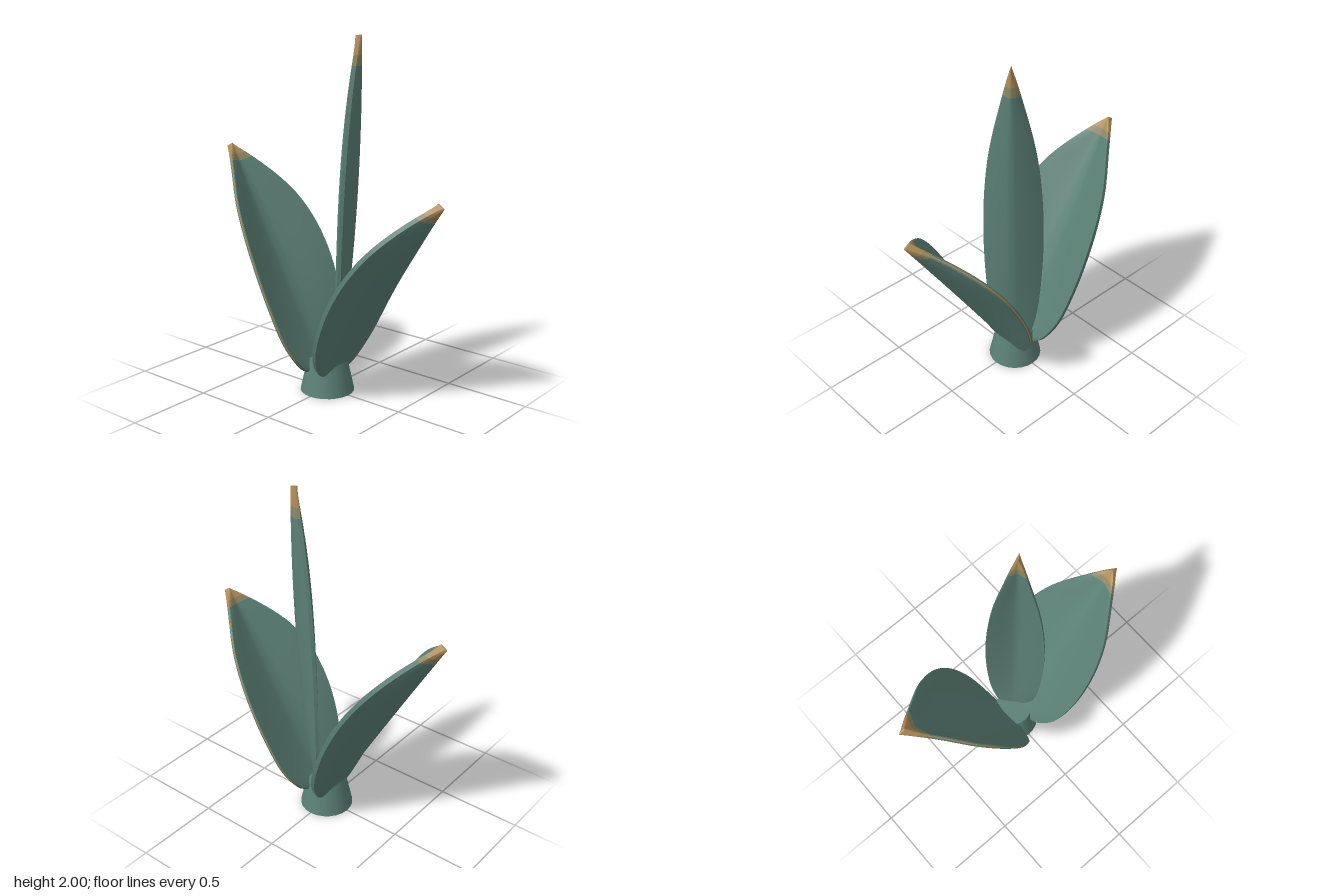
import * as THREE from 'three';

const material = (name, color) => Object.assign(new THREE.MeshStandardMaterial({ color }), { name });
const green = material('leafGreen', 0x5a7f74);
const tan = material('tipTan', 0xb18d56);
const olive = material('tipBlendOlive', 0x8c8763);

// Leaf outline: position along the leaf, share of the full half width
const outline = new THREE.SplineCurve([
  [0, 0.36], [0.04, 0.58], [0.15, 0.84], [0.3, 0.97], [0.45, 1],
  [0.6, 0.93], [0.75, 0.72], [0.92, 0.27], [1, 0.012],
].map(([t, w]) => new THREE.Vector2(t, w)));
const ROWS = 32, TIP_ROW = 28, COLS = 12;

// Folded leaf, thinner at its margins; it leans towards +x, with its rib on the outside
function leafGeometry({ rib, halfWidth, cup, thick, tanRim }) {
  const path = new THREE.QuadraticBezierCurve(...rib.map(([r, y]) => new THREE.Vector2(r, y)));
  const stations = outline.getPoints(ROWS);
  // side runs from 0 on the outer face to 1 on the inner face
  const pointAt = (row, u, side) => {
    const t = THREE.MathUtils.clamp(stations[row].x, 0, 1);
    const p = path.getPoint(t), d = path.getTangent(t);
    const depth = thick * (0.5 + (side - 0.5) * (1 - 0.45 * u ** 4));
    const fold = cup * 4 * t * (1 - t) * (0.75 + 0.5 * t);
    const inward = fold * Math.abs(u) ** 1.25 + depth;
    return [p.x - d.y * inward, p.y + d.x * inward, halfWidth * stations[row].y * u];
  };

  const positions = [], body = [], tip = [], blend = [];
  // Adds a grid of quads; each grid keeps its own vertices, so its borders stay sharp
  const addGrid = (rows, cols, at, listFor) => {
    const start = positions.length / 3;
    for (let i = 0; i <= rows; i++) for (let j = 0; j <= cols; j++) positions.push(...at(i, j));
    for (let i = 0; i < rows; i++) for (let j = 0; j < cols; j++) {
      const a = start + i * (cols + 1) + j, c = a + cols + 1;
      listFor(i, j).push(a, a + 1, c, a + 1, c + 1, c);
    }
  };
  const byRow = (i) => (i < TIP_ROW ? body : i === TIP_ROW ? blend : tip);
  const rimColour = (i, j) => (tanRim && j === 1 && i >= 5 ? tip : byRow(i));
  const across = (j) => (2 * j) / COLS - 1;
  // Outer face, inner face and both rims, one with a thin tan line
  addGrid(ROWS, COLS, (i, j) => pointAt(i, -across(j), 0), byRow);
  addGrid(ROWS, COLS, (i, j) => pointAt(i, across(j), 1), byRow);
  addGrid(ROWS, 3, (i, j) => pointAt(i, -1, j / 3), rimColour);
  addGrid(ROWS, 1, (i, j) => pointAt(i, 1, 1 - j), byRow);
  // End caps
  addGrid(1, COLS, (i, j) => pointAt(0, across(j), i), () => body);
  addGrid(1, COLS, (i, j) => pointAt(ROWS, across(j), 1 - i), () => tip);

  const geometry = new THREE.BufferGeometry();
  geometry.setAttribute('position', new THREE.Float32BufferAttribute(positions, 3));
  geometry.setIndex([...body, ...tip, ...blend]);
  geometry.addGroup(0, body.length, 0);
  geometry.addGroup(body.length, tip.length, 1);
  geometry.addGroup(body.length + tip.length, blend.length, 2);
  geometry.computeVertexNormals();
  return geometry;
}

export function createModel() {
  const model = new THREE.Group();
  model.name = 'plant';

  // Tapered stem base
  const stem = new THREE.Mesh(new THREE.CylinderGeometry(0.11, 0.154, 0.2, 24), green);
  stem.name = 'stemBase';
  stem.position.y = 0.1;
  model.add(stem);

  // Leaves; rib points are distance from the centre and height
  const leaves = [
    { name: 'leftLeaf', turn: 0, halfWidth: 0.307, cup: 0.1, thick: 0.045, tanRim: true,
      rib: [[0.07, 0.115], [0.407, 0.65], [0.757, 1.172]] },
    { name: 'rightLeaf', turn: Math.PI, halfWidth: 0.307, cup: 0.115, thick: 0.045, tanRim: true,
      rib: [[0.064, 0.112], [0.4, 0.715], [0.76, 1.322]] },
    { name: 'tallLeaf', turn: 0.7, halfWidth: 0.165, cup: 0.07, thick: 0.035, tanRim: false,
      rib: [[0.065, 0.125], [0.195, 1.0], [0.182, 2.0]] },
  ];
  for (const leaf of leaves) {
    const mesh = new THREE.Mesh(leafGeometry(leaf), [green, tan, olive]);
    mesh.name = leaf.name;
    mesh.rotation.y = leaf.turn;
    model.add(mesh);
  }
  return model;
}
